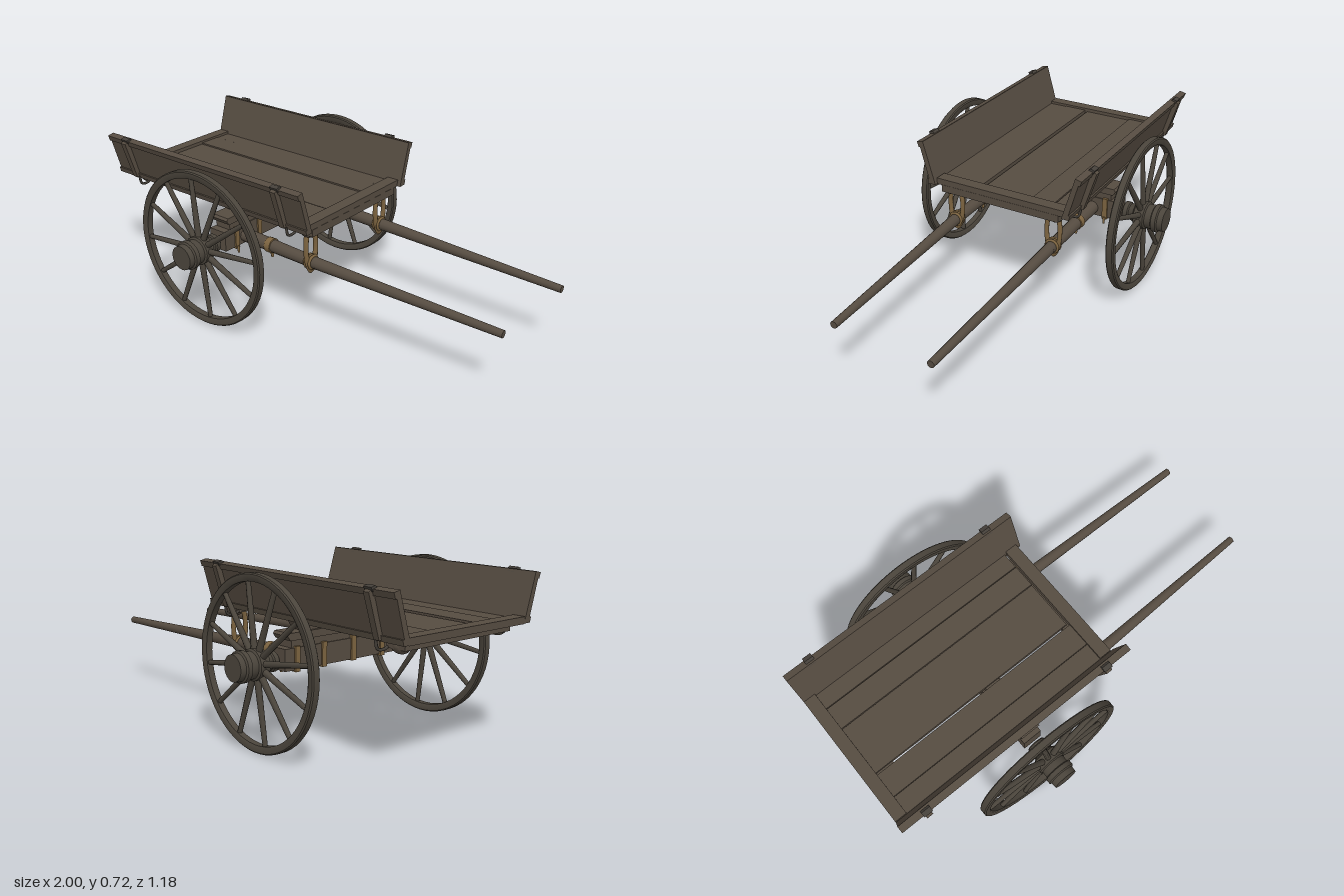
import * as THREE from 'three';
import { toCreasedNormals } from 'three/addons/utils/BufferGeometryUtils.js';

const mat = (name, color) => {
  const m = new THREE.MeshStandardMaterial({ color });
  m.name = name;
  return m;
};

export function createModel() {
  const wood = mat('weathered wood', 0x564c41);
  const wheelWood = mat('wheel wood', 0x4b453c);
  const rope = mat('rope', 0x7d6440);
  const iron = mat('dark iron', 0x45403a);
  const cart = new THREE.Group();
  cart.name = 'handCart';

  const add = (parent, name, geo, material) => {
    const m = new THREE.Mesh(geo, material);
    m.name = name;
    parent.add(m);
    return m;
  };
  // Box given by its limits on each axis
  const box = (name, x0, x1, y0, y1, z0, z1, material = wood) => {
    const m = add(cart, name, new THREE.BoxGeometry(x1 - x0, y1 - y0, z1 - z0), material);
    m.position.set((x0 + x1) / 2, (y0 + y1) / 2, (z0 + z1) / 2);
    return m;
  };
  // Cross-section in (z, y) pulled along x
  const prism = (name, pts, x0, x1, material = wood) => {
    const shape = new THREE.Shape(pts.map(p => new THREE.Vector2(p[0], p[1])));
    const geo = new THREE.ExtrudeGeometry(shape, { depth: x1 - x0, bevelEnabled: false });
    geo.rotateY(-Math.PI / 2).translate(x1, 0, 0);
    return add(cart, name, geo, material);
  };
  // Tapered round bar between two points
  const bar = (parent, name, a, b, ra, rb, material, sides = 10) => {
    const A = new THREE.Vector3(...a), B = new THREE.Vector3(...b);
    const m = add(parent, name, new THREE.CylinderGeometry(rb, ra, A.distanceTo(B), sides), material);
    m.position.copy(A).add(B).multiplyScalar(0.5);
    m.quaternion.setFromUnitVectors(new THREE.Vector3(0, 1, 0), B.sub(A).normalize());
    return m;
  };
  const lathe = (pts, seg) => toCreasedNormals(
    new THREE.LatheGeometry(pts.map(p => new THREE.Vector2(p[0], p[1])), seg).rotateX(Math.PI / 2), 0.6);

  // Floor boards, with an open gap near the middle
  [[-0.33, -0.242, 0.53], [-0.238, -0.132, 0.532], [-0.13, 0.104, 0.526],
    [0.116, 0.228, 0.532], [0.23, 0.315, 0.53]].forEach(([z0, z1, top]) =>
    box('floorBoard', -0.95, z0 < 0.1 ? 0.062 : 0.075, top - 0.02, top, z0, z1));
  box('rearEndBar', -1, -0.945, 0.513, 0.542, -0.32, 0.315);
  box('frontEndBar', 0.07, 0.127, 0.513, 0.542, -0.32, 0.315);

  // Cross beams under the bed
  for (const x of [-0.907, 0.083]) {
    box('crossBeam', x - 0.045, x + 0.045, 0.482, 0.515, -0.29, 0.29);
    for (const s of [-1, 1]) {
      const knob = add(cart, 'beamEnd', new THREE.SphereGeometry(0.028, 12, 8), wood);
      knob.position.set(x, 0.49, s * 0.265);
      knob.scale.x = 1.5;
    }
  }

  // Flared side boards with top trim, battens and brackets
  for (const s of [-1, 1]) {
    const side = pts => pts.map(([z, y]) => [z * s, y]);
    prism('sideBoard', side([[0.312, 0.515], [0.338, 0.515], [0.392, 0.706], [0.37, 0.71]]), -1, 0.145);
    prism('sideTrim', side([[0.384, 0.683], [0.392, 0.681], [0.4, 0.705], [0.37, 0.712]]), -1, 0.145);
    prism('sideSill', side([[0.337, 0.515], [0.347, 0.515], [0.353, 0.538], [0.343, 0.538]]), -1, 0.145);
    for (const x of [-0.88, 0.022]) {
      prism('sideBatten', side([[0.338, 0.52], [0.36, 0.52], [0.414, 0.695], [0.394, 0.71]]),
        x - 0.014, x + 0.014);
      prism('battenTop', side([[0.366, 0.7], [0.4, 0.695], [0.408, 0.712], [0.388, 0.718]]),
        x - 0.02, x + 0.02, iron);
      const hook = new THREE.CatmullRomCurve3([[0.35, 0.525], [0.338, 0.483], [0.3, 0.48], [0.28, 0.49]]
        .map(([z, y]) => new THREE.Vector3(x + 0.015, y, z * s)));
      add(cart, 'sideHook', new THREE.TubeGeometry(hook, 10, 0.006, 6), iron);
    }
  }

  // Axle beam and the bolsters stacked on it
  const ax = -0.345, ay = 0.355;
  box('axleBeam', ax - 0.045, ax + 0.045, 0.315, 0.405, -0.37, 0.37);
  box('lowerBolster', ax - 0.04, ax + 0.04, 0.4, 0.445, -0.335, 0.335);
  prism('upperBolster', [[-0.345, 0.435], [0.345, 0.435], [0.358, 0.455], [0.35, 0.466],
    [-0.35, 0.466], [-0.358, 0.455]], ax - 0.047, ax + 0.047);
  prism('bedBlock', [[-0.27, 0.464], [0.27, 0.464], [0.3, 0.515], [-0.3, 0.515]], ax - 0.035, ax + 0.035);

  // Lashings round the axle
  for (const z of [-0.31, -0.17, 0.155, 0.3]) {
    box('axleLashing', ax - 0.052, ax + 0.052, 0.308, 0.411, z - 0.012, z + 0.012, rope);
    bar(cart, 'lashingTail', [ax + 0.052, 0.32, z], [ax + 0.055, 0.288, z], 0.007, 0.005, rope, 6);
  }
  box('centreStrap', ax - 0.052, ax + 0.052, 0.311, 0.443, -0.022, 0.004, rope);

  // Pulling shafts with their hanging ropes
  for (const [s, tipX, tipZ] of [[1, 0.985, 0.212], [-1, 1, 0.243]]) {
    const z = s * 0.245;
    bar(cart, 'shaftRear', [-0.3, 0.352, z], [0.12, 0.338, z], 0.031, 0.026, wood, 12);
    bar(cart, 'shaft', [0.11, 0.3385, z], [tipX, 0.309, s * tipZ], 0.026, 0.016, wood, 12);
    const loop = add(cart, 'shaftRope', new THREE.TorusGeometry(0.1, 0.03, 8, 28), rope);
    loop.rotation.y = Math.PI / 2;
    loop.scale.set(0.32, 0.98, 0.4);
    loop.position.set(0.08, 0.41, z);
    for (const x of [0.068, 0.08, 0.092]) {
      const wrap = add(cart, 'shaftWrap', new THREE.TorusGeometry(0.028, 0.007, 6, 18), rope);
      wrap.rotation.y = Math.PI / 2;
      wrap.position.set(x, 0.339, z);
    }
    const strap = add(cart, 'shaftStrap', new THREE.CylinderGeometry(0.034, 0.034, 0.03, 14), rope);
    strap.rotation.z = Math.PI / 2;
    strap.position.set(-0.145, 0.347, z);
    bar(cart, 'strapTail', [-0.145, 0.325, z], [-0.138, 0.292, z], 0.01, 0.006, rope, 6);
  }

  // Wheels: rim, spokes and turned hub; local +z points outward
  const rim = lathe([[0.322, -0.014], [0.328, -0.018], [0.35, -0.018], [0.355, -0.013], [0.355, 0.013],
    [0.35, 0.018], [0.328, 0.018], [0.322, 0.014], [0.322, -0.014]].map(([r, h]) => [r, -h]).reverse(), 64);
  const hub = lathe([[0, 0.085], [0.038, 0.085], [0.042, 0.08], [0.042, 0.06], [0.036, 0.055], [0.046, 0.03],
    [0.062, 0.02], [0.064, -0.025], [0.055, -0.03], [0.057, -0.06], [0.064, -0.065], [0.064, -0.085],
    [0.056, -0.09], [0.054, -0.115], [0, -0.115]].map(([r, h]) => [r, -h]), 24);
  for (const s of [-1, 1]) {
    const wheel = new THREE.Group();
    wheel.name = s > 0 ? 'frontWheel' : 'backWheel';
    add(wheel, 'rim', rim, wheelWood);
    add(wheel, 'hub', hub, wheelWood);
    const cap = add(wheel, 'axlePin', new THREE.CylinderGeometry(0.02, 0.02, 0.015, 12), iron);
    cap.rotation.x = Math.PI / 2;
    cap.position.z = 0.085;
    for (let i = 0; i < 12; i++) {
      const a = (i + (s > 0 ? 0.2 : 0.3)) * Math.PI / 6;
      const c = Math.cos(a), n = Math.sin(a);
      bar(wheel, 'spoke', [c * 0.05, n * 0.05, 0.004], [c * 0.33, n * 0.33, 0], 0.014, 0.01, wheelWood, 8);
    }
    wheel.position.set(ax, ay, s * 0.475);
    if (s < 0) wheel.rotation.y = Math.PI;
    cart.add(wheel);
  }
  return cart;
}
